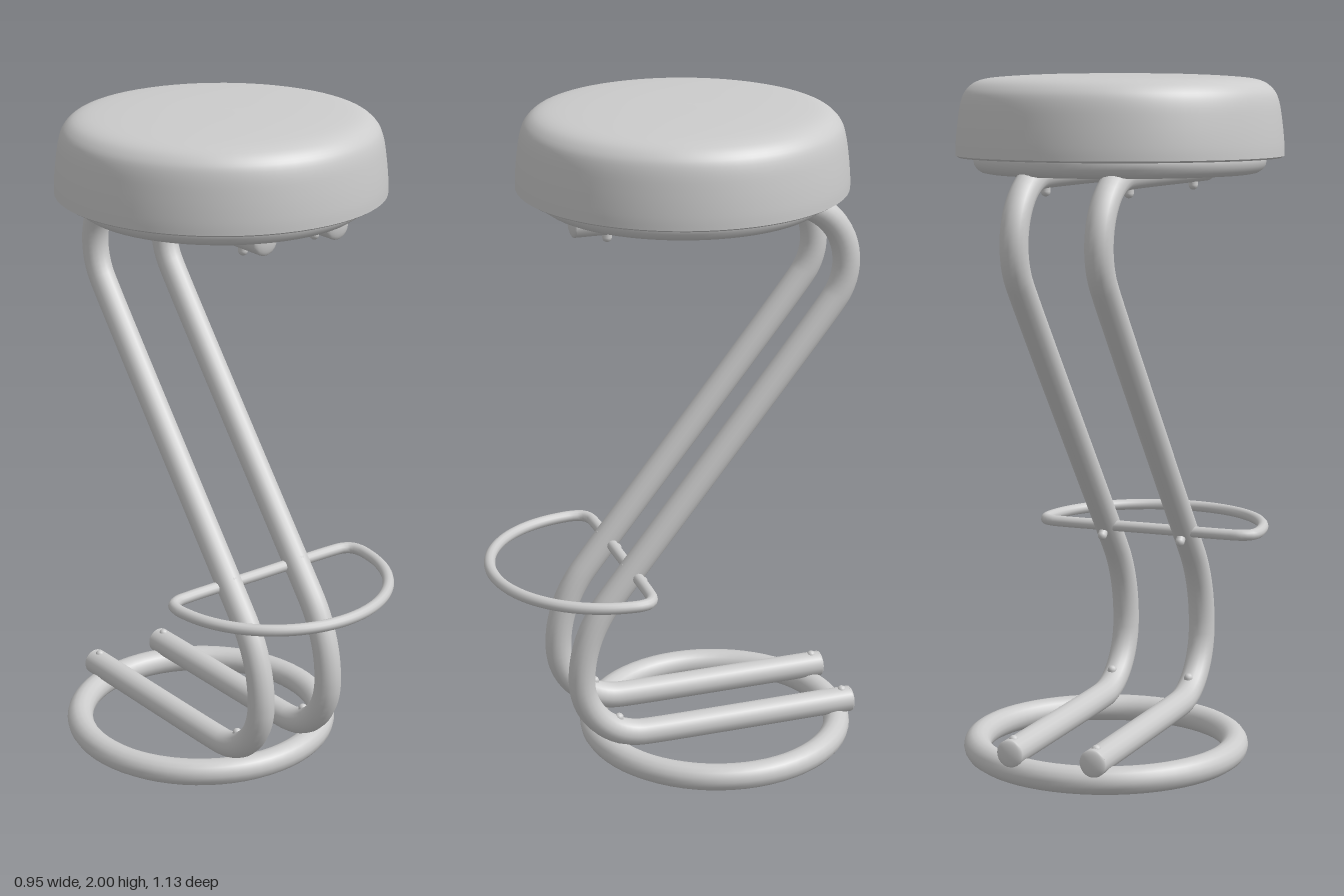
import * as THREE from 'three';

const V = (x, y, z) => new THREE.Vector3(x, y, z);

// Path in the z-y plane: straight runs joined by true circular bends.
// Each corner is [z, y, bendRadius].
function bentPath(corners, x) {
  const out = [];
  const P = corners.map(([z, y]) => V(x, y, z));
  P.forEach((p, i) => {
    const r = corners[i][2];
    if (!r) { out.push(p); return; }
    const a = P[i - 1].clone().sub(p).normalize();
    const b = P[i + 1].clone().sub(p).normalize();
    const half = a.angleTo(b) / 2;
    const centre = p.clone().addScaledVector(a.clone().add(b).normalize(), r / Math.sin(half));
    const start = p.clone().addScaledVector(a, r / Math.tan(half)).sub(centre);
    const end = p.clone().addScaledVector(b, r / Math.tan(half)).sub(centre);
    const axis = start.clone().cross(end).normalize();
    const sweep = Math.PI - 2 * half, n = 12;
    for (let k = 0; k <= n; k++) {
      out.push(start.clone().applyAxisAngle(axis, sweep * k / n).add(centre));
    }
  });
  return new THREE.CatmullRomCurve3(out, false, 'centripetal');
}

export function createModel() {
  const group = new THREE.Group();
  const mat = new THREE.MeshStandardMaterial({ color: 0xcccccc });

  const add = (name, geo, x = 0, y = 0, z = 0) => {
    const mesh = new THREE.Mesh(geo, mat);
    mesh.name = name;
    mesh.position.set(x, y, z);
    group.add(mesh);
    return mesh;
  };

  // Padded seat: flat underside, soft domed top
  const pad = new THREE.SplineCurve([
    [0.476, 1.765], [0.475, 1.80], [0.469, 1.86], [0.459, 1.92], [0.442, 1.955],
    [0.405, 1.98], [0.33, 1.991], [0.18, 1.998], [0, 2.0],
  ].map(p => new THREE.Vector2(...p))).getPoints(32);
  pad[pad.length - 1].x = 0;
  add('seatCushion', new THREE.LatheGeometry(pad, 64), 0, 0, -0.037);
  const under = [[0, 1.76], [0.468, 1.76], [0.476, 1.765]].map(p => new THREE.Vector2(...p));
  add('seatUnderside', new THREE.LatheGeometry(under, 64), 0, 0, -0.037);

  // Round rings under the seat and on the floor
  const ring = (name, y, z, radius) =>
    add(name, new THREE.TorusGeometry(radius, 0.04, 16, 64).rotateX(Math.PI / 2), 0, y, z);
  ring('seatRing', 1.754, -0.037, 0.385);
  ring('baseRing', 0.04, -0.146, 0.38);

  // Screw with a domed head at each end
  const screw = (name, x, y, z, length, tilt = 0) => {
    const geo = new THREE.CapsuleGeometry(0.014, length - 0.028, 4, 12);
    add(name, geo, x, y, z).rotation.x = tilt;
  };

  // Pair of bent frame tubes with end plugs and screws
  const frame = [
    [0.325, 1.717, 0], [-0.697, 1.717, 0.188], [0.32, 0.441, 0.4],
    [0.32, 0.1, 0.2], [-0.545, 0.1, 0],
  ];
  for (const side of [1, -1]) {
    const x = side * 0.127, label = side > 0 ? 'left' : 'right';
    add(label + 'FrameTube', new THREE.TubeGeometry(bentPath(frame, x), 160, 0.04, 16, false));
    for (const [z, y, where] of [[0.325, 1.717, 'Top'], [-0.545, 0.1, 'Bottom']]) {
      add(label + where + 'EndPlug', new THREE.SphereGeometry(0.04, 16, 12).scale(1, 1, 0.3), x, y, z);
    }
    screw(label + 'FrontSeatScrew', x, 1.70, 0.228, 0.09);
    screw(label + 'BackSeatScrew', x, 1.70, -0.28, 0.09);
    screw(label + 'FrontBaseScrew', x, 0.125, 0.205, 0.10);
    screw(label + 'BackBaseScrew', x, 0.10, -0.52, 0.095);
    screw(label + 'FootrestScrew', x, 0.629, 0.155, 0.105, Math.PI / 4);
  }

  // D-shaped footrest loop: half circle in front, straight bar behind
  const loop = [];
  for (let k = 0; k <= 24; k++) {
    const t = Math.PI * k / 24;
    loop.push(V(0.344 * Math.cos(t), 0, 0.206 + 0.344 * Math.sin(t)));
  }
  for (const [x, z] of [[-0.335, 0.175], [-0.31, 0.159], [-0.27, 0.155], [0, 0.155],
    [0.27, 0.155], [0.31, 0.159], [0.335, 0.175]]) loop.push(V(x, 0, z));
  const loopCurve = new THREE.CatmullRomCurve3(loop, true, 'centripetal');
  add('footrest', new THREE.TubeGeometry(loopCurve, 120, 0.017, 12, true), 0, 0.63, 0);

  return group;
}
